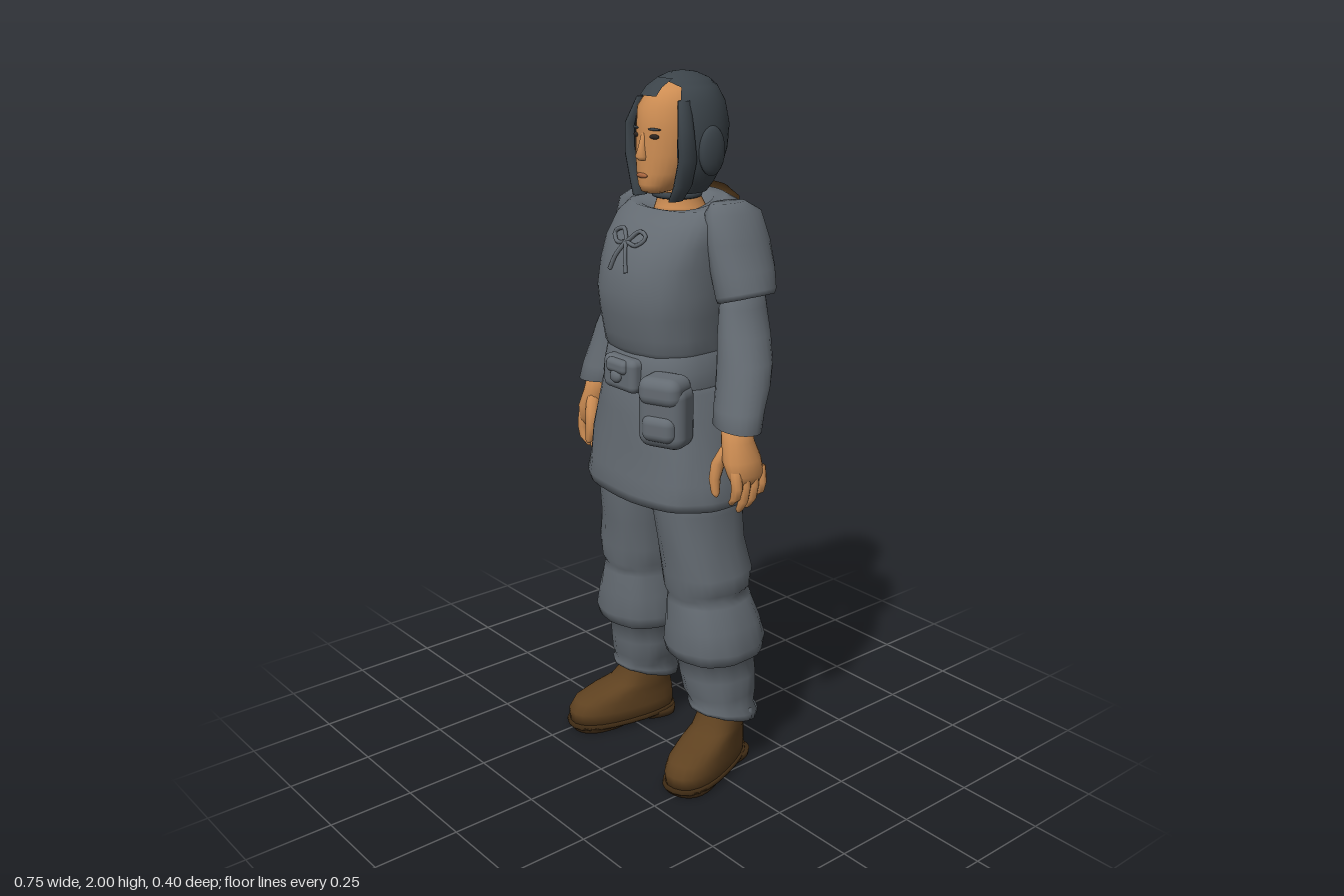
import * as THREE from 'three';
import { RoundedBoxGeometry } from 'three/addons/geometries/RoundedBoxGeometry.js';

const mat = (name, color, side = THREE.FrontSide) => {
  const m = new THREE.MeshStandardMaterial({ color, side });
  m.name = name;
  return m;
};

// Surface through horizontal rings, listed top to bottom:
// [x, y, z, rx, rz, tiltX, tiltZ, gap]; gap is the half angle left open at the front.
function loft(rings, { seg = 24, power = 2, fold = 0, waves = 7, open = false } = {}) {
  const pos = [], idx = [], n = open ? seg + 1 : seg;
  const sup = v => Math.sign(v) * Math.abs(v) ** (2 / power);
  rings.forEach(([x, y, z, rx, rz, tx = 0, tz = 0, gap = 0]) => {
    for (let j = 0; j < n; j++) {
      const a = Math.PI / 2 + gap + (j / seg) * (2 * Math.PI - 2 * gap);
      const c = sup(Math.cos(a)), s = sup(Math.sin(a));
      const k = 1 + fold * Math.sin(a * waves + y * 31) * Math.cos(a * 3 - y * 17);
      pos.push(x + rx * c * k, y + tx * c + tz * s, z + rz * s * k);
    }
  });
  for (let i = 0; i < rings.length - 1; i++) for (let j = 0; j < seg; j++) {
    const a = i * n + j, b = i * n + (j + 1) % n;
    idx.push(a, b, a + n, b, b + n, a + n);
  }
  if (!open) [0, rings.length - 1].forEach((r, end) => {
    const c = pos.length / 3;
    pos.push(...rings[r].slice(0, 3));
    for (let j = 0; j < n; j++) {
      const a = r * n + j, b = r * n + (j + 1) % n;
      idx.push(c, ...(end ? [a, b] : [b, a]));
    }
  });
  const g = new THREE.BufferGeometry();
  g.setAttribute('position', new THREE.Float32BufferAttribute(pos, 3));
  g.setIndex(idx);
  g.computeVertexNormals();
  return g;
}

// Trunk rows: [y, half width, front z, back z, tiltZ, gap]
const rows = list => list.map(([y, w, f, b, t = 0, gap = 0]) => [0, y, (f + b) / 2, w, (f - b) / 2, 0, t, gap]);
const mirror = (rings, s) => rings.map(([x, y, z, rx, rz, tx = 0, tz = 0]) => [x * s, y, z, rx, rz, tx * s, tz]);

export function createModel() {
  const cloth = mat('greyCloth', 0x646b72, THREE.DoubleSide);
  const hair = mat('darkHair', 0x3b4349, THREE.DoubleSide);
  const skin = mat('skin', 0xcd8d53);
  const leather = mat('brownLeather', 0x5e4120, THREE.DoubleSide);
  const sole = mat('darkSole', 0x3f2b14);
  const lip = mat('lip', 0xa9663f);
  const eye = mat('darkEye', 0x2b2420);

  const model = new THREE.Group();
  const add = (name, geo, m, parent = model) => {
    const mesh = new THREE.Mesh(geo, m);
    mesh.name = name;
    parent.add(mesh);
    return mesh;
  };
  const blob = (name, m, [x, y, z], [a, b, c], ry = 0, parent = model) => {
    const o = add(name, new THREE.SphereGeometry(1, 16, 12), m, parent);
    o.position.set(x, y, z);
    o.scale.set(a, b, c);
    o.rotation.y = ry;
  };
  const box = (name, m, [x, y, z], [w, h, d], r = 0.02, ry = 0) => {
    const o = add(name, new RoundedBoxGeometry(w, h, d, 3, r), m);
    o.position.set(x, y, z);
    o.rotation.y = ry;
  };
  const cord = (name, pts, r, m = cloth) => add(name, new THREE.TubeGeometry(
    new THREE.CatmullRomCurve3(pts.map(p => new THREE.Vector3(...p))), 16, r, 6), m);

  // Tunic: chest, belt and flared skirt
  add('tunicTop', loft(rows([
    [1.625, 0.06, 0, -0.12, -0.02], [1.65, 0.085, 0.025, -0.135, -0.025], [1.662, 0.125, 0.035, -0.155, -0.02],
    [1.655, 0.17, 0.05, -0.175, -0.01], [1.62, 0.19, 0.09, -0.185], [1.56, 0.188, 0.135, -0.185],
    [1.5, 0.182, 0.163, -0.18], [1.43, 0.182, 0.175, -0.165], [1.37, 0.178, 0.17, -0.152],
    [1.31, 0.17, 0.158, -0.15], [1.275, 0.17, 0.15, -0.15], [1.25, 0.16, 0.135, -0.14]]),
  { seg: 40, power: 2.4, fold: 0.012 }), cloth);
  add('belt', loft(rows([
    [1.272, 0.155, 0.125, -0.135], [1.265, 0.17, 0.142, -0.149], [1.22, 0.178, 0.15, -0.153],
    [1.178, 0.186, 0.153, -0.158], [1.168, 0.175, 0.14, -0.15]]), { seg: 40, power: 2.4 }), cloth);
  add('tunicSkirt', loft(rows([
    [1.2, 0.17, 0.13, -0.145], [1.16, 0.19, 0.145, -0.16], [1.09, 0.213, 0.155, -0.175],
    [1, 0.237, 0.162, -0.188], [0.92, 0.252, 0.17, -0.195], [0.87, 0.264, 0.175, -0.2],
    [0.845, 0.258, 0.17, -0.194], [0.845, 0.22, 0.14, -0.16]]),
  { seg: 48, power: 2.5, fold: 0.018 }), cloth);
  add('napeLining', loft(rows([
    [1.678, 0.133, 0.043, -0.163, -0.02, 2.45], [1.662, 0.176, 0.056, -0.182, -0.01, 2.5],
    [1.61, 0.196, 0.095, -0.194, 0, 2.72]]), { seg: 12, power: 2.4, open: true }), leather);

  // Chest lacing and cords at the back of the belt
  for (const s of [-1, 1]) {
    cord('laceLoop', [[0, 1.565, 0.137], [0.035 * s, 1.595, 0.118], [0.065 * s, 1.582, 0.124], [0.04 * s, 1.56, 0.137], [0, 1.565, 0.137]], 0.006);
    cord('laceEnd', [[0, 1.565, 0.14], [0.02 * s, 1.53, 0.158], [0.035 * s, 1.49, 0.168]], 0.006);
    cord('beltCord', [[0.03, 1.19, -0.162], [0.03 + 0.03 * s, 1.12, -0.178], [0.03 + 0.035 * s, 1.03, -0.192]], 0.009);
  }

  // Pouches and flat skirt panels
  box('sidePouch', cloth, [0.155, 1.12, 0.128], [0.14, 0.18, 0.1], 0.035, 0.38);
  box('sidePouchFlap', cloth, [0.157, 1.19, 0.135], [0.125, 0.08, 0.105], 0.03, 0.38);
  box('sidePouchPocket', cloth, [0.165, 1.09, 0.15], [0.1, 0.075, 0.08], 0.025, 0.38);
  box('frontPouch', cloth, [0, 1.205, 0.15], [0.135, 0.095, 0.05], 0.02);
  box('frontPouchFlap', cloth, [0, 1.228, 0.163], [0.085, 0.04, 0.045], 0.015);
  blob('frontPouchKnot', cloth, [0, 1.2, 0.178], [0.022, 0.018, 0.012]);

  for (const s of [-1, 1]) {
    const side = s > 0 ? 'left' : 'right';

    // Short sleeve over a long sleeve
    add(side + 'ShortSleeve', loft(mirror([
      [0.165, 1.67, -0.075, 0.03, 0.055], [0.18, 1.645, -0.08, 0.052, 0.088], [0.196, 1.57, -0.085, 0.065, 0.1],
      [0.216, 1.5, -0.085, 0.071, 0.097], [0.236, 1.435, -0.08, 0.071, 0.09, 0.02],
      [0.237, 1.42, -0.08, 0.066, 0.084, 0.02], [0.237, 1.425, -0.08, 0.045, 0.06, 0.02]], s), { fold: 0.02, waves: 5 }), cloth);
    add(side + 'LongSleeve', loft(mirror([
      [0.222, 1.46, -0.08, 0.045, 0.065], [0.228, 1.4, -0.078, 0.052, 0.073], [0.245, 1.33, -0.068, 0.064, 0.077],
      [0.267, 1.26, -0.052, 0.075, 0.076], [0.28, 1.2, -0.035, 0.076, 0.071], [0.292, 1.14, -0.012, 0.075, 0.063],
      [0.3, 1.095, 0.003, 0.075, 0.058, -0.006], [0.3, 1.097, 0.003, 0.055, 0.045]], s), { fold: 0.025, waves: 4 }), cloth);

    // Hand with four fingers and a thumb
    const hand = new THREE.Group();
    hand.name = side + 'Hand';
    model.add(hand);
    add('palm', loft(mirror([
      [0.298, 1.11, 0.004, 0.04, 0.04], [0.307, 1.06, 0.006, 0.042, 0.047], [0.322, 1.01, 0.004, 0.042, 0.06],
      [0.332, 0.97, -0.002, 0.034, 0.058], [0.335, 0.945, -0.004, 0.02, 0.05]], s), { seg: 16 }), skin, hand);
    [[0.04, 0.885], [0.011, 0.858], [-0.019, 0.865], [-0.047, 0.89]].forEach(([z, tip]) =>
      add('finger', loft(mirror([
        [0.338, 0.985, z, 0.018, 0.016], [0.345, 0.94, z, 0.017, 0.015], [0.338, (0.93 + tip) / 2, z, 0.015, 0.013],
        [0.324, tip + 0.01, z * 0.95, 0.011, 0.011], [0.32, tip, z * 0.95, 0.005, 0.005]], s), { seg: 10 }), skin, hand));
    add('thumb', loft(mirror([
      [0.3, 1.05, 0.03, 0.018, 0.022], [0.282, 1, 0.052, 0.019, 0.02], [0.277, 0.955, 0.06, 0.016, 0.016],
      [0.283, 0.915, 0.062, 0.011, 0.012], [0.287, 0.905, 0.062, 0.004, 0.005]], s), { seg: 10 }), skin, hand);

    // Baggy trouser leg gathered under the knee, with a ragged cuff
    add(side + 'TrouserLeg', loft(mirror([
      [0.118, 0.92, -0.02, 0.118, 0.14], [0.122, 0.82, -0.015, 0.118, 0.13], [0.13, 0.72, -0.02, 0.11, 0.126],
      [0.145, 0.63, -0.03, 0.119, 0.126], [0.145, 0.58, -0.03, 0.116, 0.124], [0.143, 0.558, -0.03, 0.102, 0.112],
      [0.148, 0.54, -0.036, 0.112, 0.122], [0.156, 0.47, -0.045, 0.128, 0.136], [0.16, 0.405, -0.05, 0.136, 0.146],
      [0.16, 0.37, -0.052, 0.128, 0.137], [0.16, 0.355, -0.055, 0.102, 0.11], [0.163, 0.3, -0.06, 0.106, 0.11],
      [0.17, 0.24, -0.062, 0.098, 0.102], [0.177, 0.205, -0.063, 0.088, 0.094, 0, 0.01],
      [0.18, 0.185, -0.066, 0.096, 0.103, 0, 0.02], [0.18, 0.165, -0.066, 0.091, 0.1, 0, 0.03],
      [0.18, 0.18, -0.066, 0.07, 0.08, 0, 0.02]], s), { seg: 32, power: 2.2, fold: 0.03 }), cloth);
    for (const [x, y, z, r] of [[0.16, 0.17, -0.135, 0.04], [0.21, 0.16, -0.125, 0.042], [0.185, 0.15, -0.14, 0.036], [0.245, 0.175, -0.09, 0.03]])
      blob('cuffGather', cloth, [x * s, y, z], [r, r * 0.9, r]);

    // Boot, turned outward, widest at the toe
    const boot = new THREE.Group();
    boot.name = side + 'Boot';
    boot.position.set(0.2 * s, 0, 0);
    boot.rotation.y = 0.27 * s;
    model.add(boot);
    const toe = g => {
      const p = g.attributes.position;
      for (let i = 0; i < p.count; i++) p.setX(i, p.getX(i) * (1 + 1.1 * p.getZ(i)));
      g.computeVertexNormals();
      return g;
    };
    add('bootUpper', toe(loft([
      [0, 0.23, -0.075, 0.064, 0.072], [0, 0.17, -0.068, 0.067, 0.078], [0, 0.135, -0.05, 0.068, 0.097],
      [0, 0.115, -0.02, 0.068, 0.13], [0, 0.09, 0.005, 0.069, 0.161], [0, 0.06, 0.013, 0.071, 0.172],
      [0, 0.02, 0.013, 0.069, 0.171]], { power: 2.3 })), leather, boot);
    add('bootSole', toe(loft([
      [0, 0.027, 0.013, 0.073, 0.177], [0, 0.016, 0.013, 0.074, 0.178], [0, 0.012, 0.013, 0.072, 0.176]], { power: 2.4 })), sole, boot);
    add('bootHeel', loft([[0, 0.02, -0.1, 0.06, 0.062], [0, 0, -0.1, 0.058, 0.06]], { power: 2.6 }), sole, boot);
    add('bootTread', toe(loft([[0, 0.02, 0.085, 0.066, 0.1], [0, 0, 0.085, 0.062, 0.094]], { power: 2.3 })), sole, boot);

    // Eyes, brows, side hair
    blob(side + 'Eye', eye, [0.038 * s, 1.838, 0.071], [0.015, 0.0065, 0.005], 0.3 * s);
    blob(side + 'Brow', hair, [0.039 * s, 1.857, 0.072], [0.02, 0.0035, 0.004], 0.35 * s);
    blob(side + 'HairCoil', hair, [0.122 * s, 1.8, -0.055], [0.02, 0.066, 0.043]);
    add(side + 'HairLock', loft(mirror([
      [0.085, 1.93, 0.01, 0.012, 0.02], [0.11, 1.86, 0.025, 0.015, 0.026], [0.112, 1.78, 0.02, 0.017, 0.03],
      [0.092, 1.71, 0.02, 0.016, 0.03], [0.075, 1.67, 0.03, 0.011, 0.024]], s), { seg: 10 }), hair);
  }
  add('trouserSeat', loft(rows([[0.95, 0.2, 0.13, -0.15], [0.82, 0.2, 0.1, -0.13], [0.775, 0.06, 0.05, -0.08]])), cloth);

  // Head and neck
  add('neck', loft([
    [0, 1.74, -0.035, 0.056, 0.055], [0, 1.68, -0.045, 0.055, 0.055], [0, 1.645, -0.05, 0.068, 0.07], [0, 1.6, -0.05, 0.085, 0.085]]), skin);
  add('head', loft([
    [0, 1.978, -0.05, 0.03, 0.04], [0, 1.955, -0.04, 0.07, 0.083], [0, 1.91, -0.03, 0.09, 0.106],
    [0, 1.85, -0.027, 0.092, 0.107], [0, 1.79, -0.012, 0.085, 0.095], [0, 1.74, 0.003, 0.07, 0.081],
    [0, 1.71, 0.018, 0.053, 0.066], [0, 1.692, 0.03, 0.035, 0.048], [0, 1.685, 0.035, 0.018, 0.025]], { seg: 28 }), skin);
  add('nose', loft([
    [0, 1.845, 0.073, 0.008, 0.009], [0, 1.81, 0.08, 0.01, 0.013], [0, 1.785, 0.085, 0.016, 0.017],
    [0, 1.775, 0.08, 0.013, 0.012]], { seg: 12 }), skin);
  blob('lips', lip, [0, 1.735, 0.083], [0.022, 0.007, 0.006]);

  // Hair cap, open around the face
  add('hairCap', loft(rows([
    [2, 0.002, -0.053, -0.057], [1.995, 0.035, -0.018, -0.095], [1.98, 0.068, 0.012, -0.13],
    [1.962, 0.09, 0.036, -0.15, 0, 0.85], [1.92, 0.113, 0.062, -0.173, 0, 0.85], [1.86, 0.124, 0.075, -0.185, 0, 0.8],
    [1.8, 0.124, 0.075, -0.178, 0, 0.8], [1.75, 0.113, 0.07, -0.162, 0, 0.85], [1.71, 0.096, 0.06, -0.14, 0, 0.9],
    [1.685, 0.08, 0.045, -0.12, 0, 0.9]]), { seg: 36, open: true }), hair);
  add('hairFringe', loft(rows([
    [1.983, 0.066, 0.01, -0.12, 0, 2.65], [1.962, 0.086, 0.048, -0.14, 0, 2.75], [1.94, 0.095, 0.068, -0.14, 0, 2.78]])
    .map(([x, y, z, rx, rz, tx, tz, g]) => [x, y, -z, rx, rz, tx, tz, g]), { seg: 6, open: true }).rotateY(Math.PI), hair);
  const band = add('chinHair', new THREE.TorusGeometry(0.061, 0.009, 8, 28), hair);
  band.rotation.x = Math.PI / 2;
  band.position.set(0, 1.677, -0.038);

  return model;
}
